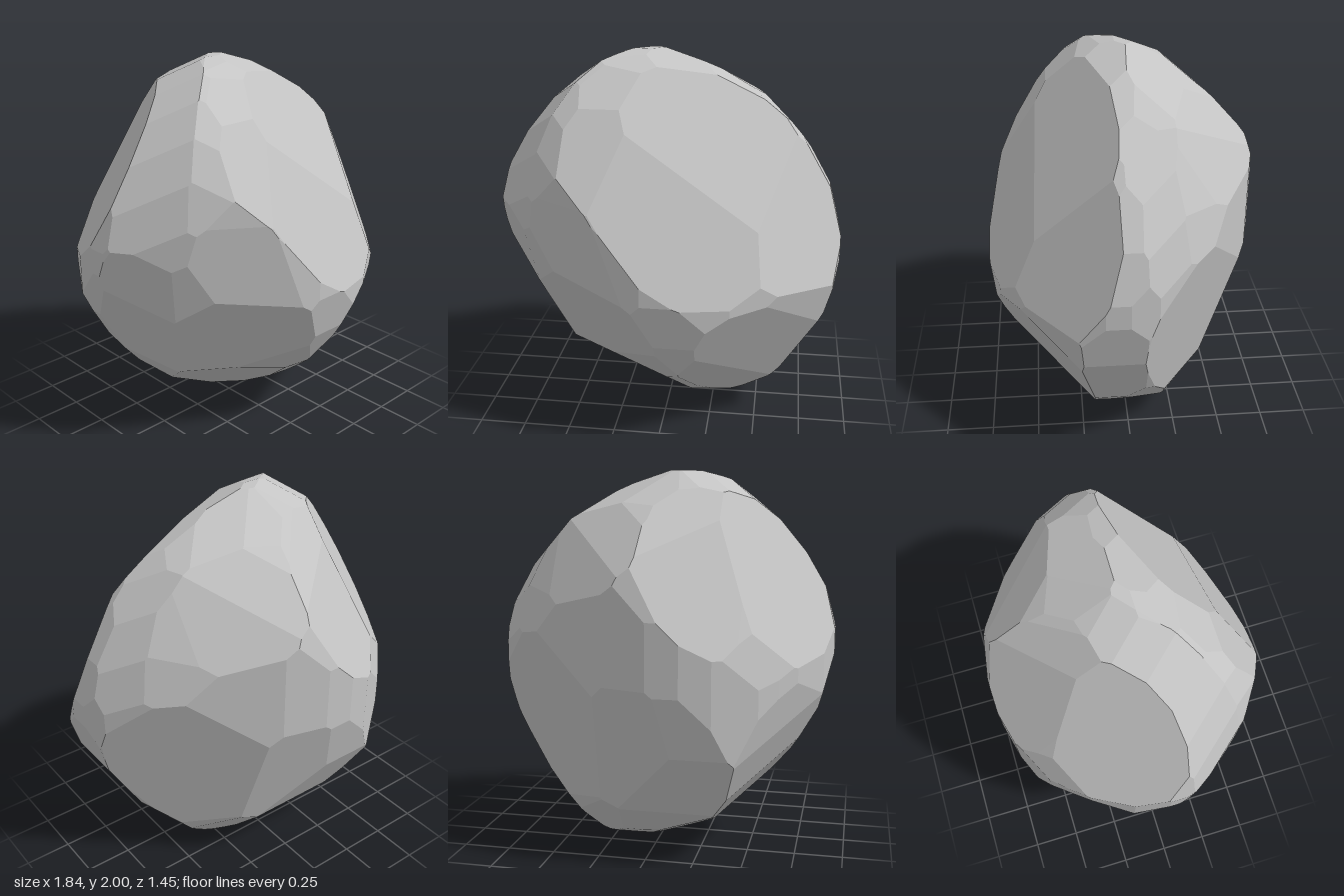
import * as THREE from 'three';

// Girdles around the stone: azimuth, elevation, and the reach from the middle
// (in hundredths) at every 30 degrees, starting sideways and turning upwards.
const GIRDLES = [
  [0, 0, [92, 89, 94, 100, 101.5, 94.5, 92, 85, 92.5, 100, 100.5, 90.5]],
  [90, 0, [72, 83, 95.3, 100, 91.5, 71.2, 73, 77, 92.3, 100, 93.7, 75.7]],
  [0, 90, [92, 82.2, 66, 73, 77.2, 84, 92, 88, 73.5, 73, 76, 90.3]],
  [40, 25, [75, 74.5, 85.5, 95, 96.5, 90.5, 80, 68.5, 79.3, 95, 96.3, 86]],
  [220, 25, [80, 86.8, 90.5, 89, 89.6, 83.3, 76, 76.5, 91.5, 93, 87.4, 76]],
  [138, -27, [81, 73.5, 85.7, 89, 90.5, 86, 85, 77, 84, 85, 84.5, 82.8]],
];

// Broad flat faces: direction x, y, z and offset along it.
const FACETS = [
  [0.25, 0.40, 0.88, 0.61], [0.36, 0.55, 0.75, 0.63],       // front
  [0.65, 0.35, 0.67, 0.70],                                 // front shoulder
  [-0.44, 0.46, -0.77, 0.725], [-0.72, 0.46, -0.52, 0.745], // upper back
  [0.62, -0.23, -0.75, 0.645], [0.25, -0.30, -0.92, 0.67],  // lower back
  [-0.50, -0.10, 0.86, 0.70], [-0.50, -0.45, 0.74, 0.67],   // lower front
  [-0.35, -0.78, 0.50, 0.74],                               // underside
  [0.60, 0.42, -0.67, 0.75],                                // upper back corner
];

function cuttingPlanes() {
  const planes = FACETS.map(([x, y, z, offset]) => {
    const n = new THREE.Vector3(x, y, z);
    const d = offset / n.length();
    return { n: n.normalize(), d };
  });
  for (const [azimuth, elevation, reach] of GIRDLES) {
    const a = THREE.MathUtils.degToRad(azimuth), e = THREE.MathUtils.degToRad(elevation);
    const right = new THREE.Vector3(Math.cos(a), 0, -Math.sin(a));
    const up = new THREE.Vector3(-Math.sin(e) * Math.sin(a), Math.cos(e), -Math.sin(e) * Math.cos(a));
    const at = (i) => reach[(i + reach.length) % reach.length] / 100;
    const cut = (step, d) => {
      const t = step * 2 * Math.PI / reach.length;
      planes.push({ n: right.clone().multiplyScalar(Math.cos(t)).addScaledVector(up, Math.sin(t)), d });
    };
    // One cut at each reach, and a smoothly blended one halfway to the next
    for (let i = 0; i < reach.length; i++) {
      cut(i, at(i));
      cut(i + 0.5, (9 * (at(i) + at(i + 1)) - at(i - 1) - at(i + 2)) / 16);
    }
  }
  return planes;
}

// Solid bounded by all planes: find its corners, then fan each flat face.
function polyhedron(planes) {
  const corners = planes.map(() => []);
  const cij = new THREE.Vector3(), cjk = new THREE.Vector3(), cki = new THREE.Vector3(), p = new THREE.Vector3();
  for (let i = 0; i < planes.length; i++) {
    for (let j = i + 1; j < planes.length; j++) {
      cij.crossVectors(planes[i].n, planes[j].n);
      for (let k = j + 1; k < planes.length; k++) {
        const det = cij.dot(planes[k].n);
        if (Math.abs(det) < 1e-7) continue;
        cjk.crossVectors(planes[j].n, planes[k].n);
        cki.crossVectors(planes[k].n, planes[i].n);
        p.set(0, 0, 0).addScaledVector(cjk, planes[i].d).addScaledVector(cki, planes[j].d)
          .addScaledVector(cij, planes[k].d).divideScalar(det);
        if (planes.every((q) => q.n.dot(p) < q.d + 1e-6)) {
          for (const m of [i, j, k]) corners[m].push(p.clone());
        }
      }
    }
  }
  const position = [], normal = [];
  planes.forEach(({ n }, i) => {
    const face = corners[i];
    if (face.length < 3) return;
    const mid = face.reduce((s, c) => s.add(c), new THREE.Vector3()).divideScalar(face.length);
    const steep = Math.abs(n.y) > 0.9;
    const u = new THREE.Vector3(steep ? 1 : 0, steep ? 0 : 1, 0).cross(n).normalize();
    const v = n.clone().cross(u);
    const angle = (c) => Math.atan2(c.clone().sub(mid).dot(v), c.clone().sub(mid).dot(u));
    face.sort((a, b) => angle(a) - angle(b));
    for (let k = 1; k < face.length - 1; k++) {
      for (const c of [face[0], face[k], face[k + 1]]) {
        position.push(c.x, c.y, c.z);
        normal.push(n.x, n.y, n.z);
      }
    }
  });
  const geometry = new THREE.BufferGeometry();
  geometry.setAttribute('position', new THREE.Float32BufferAttribute(position, 3));
  geometry.setAttribute('normal', new THREE.Float32BufferAttribute(normal, 3));
  return geometry;
}

export function createModel() {
  const group = new THREE.Group();
  group.name = 'boulder';
  const stone = new THREE.MeshStandardMaterial({ color: 0xc4c4c4 });
  stone.name = 'stone grey';

  // Rest the stone on the ground
  const geometry = polyhedron(cuttingPlanes());
  geometry.computeBoundingBox();
  geometry.translate(0, -geometry.boundingBox.min.y, 0);

  const rock = new THREE.Mesh(geometry, stone);
  rock.name = 'rock';
  group.add(rock);
  return group;
}
